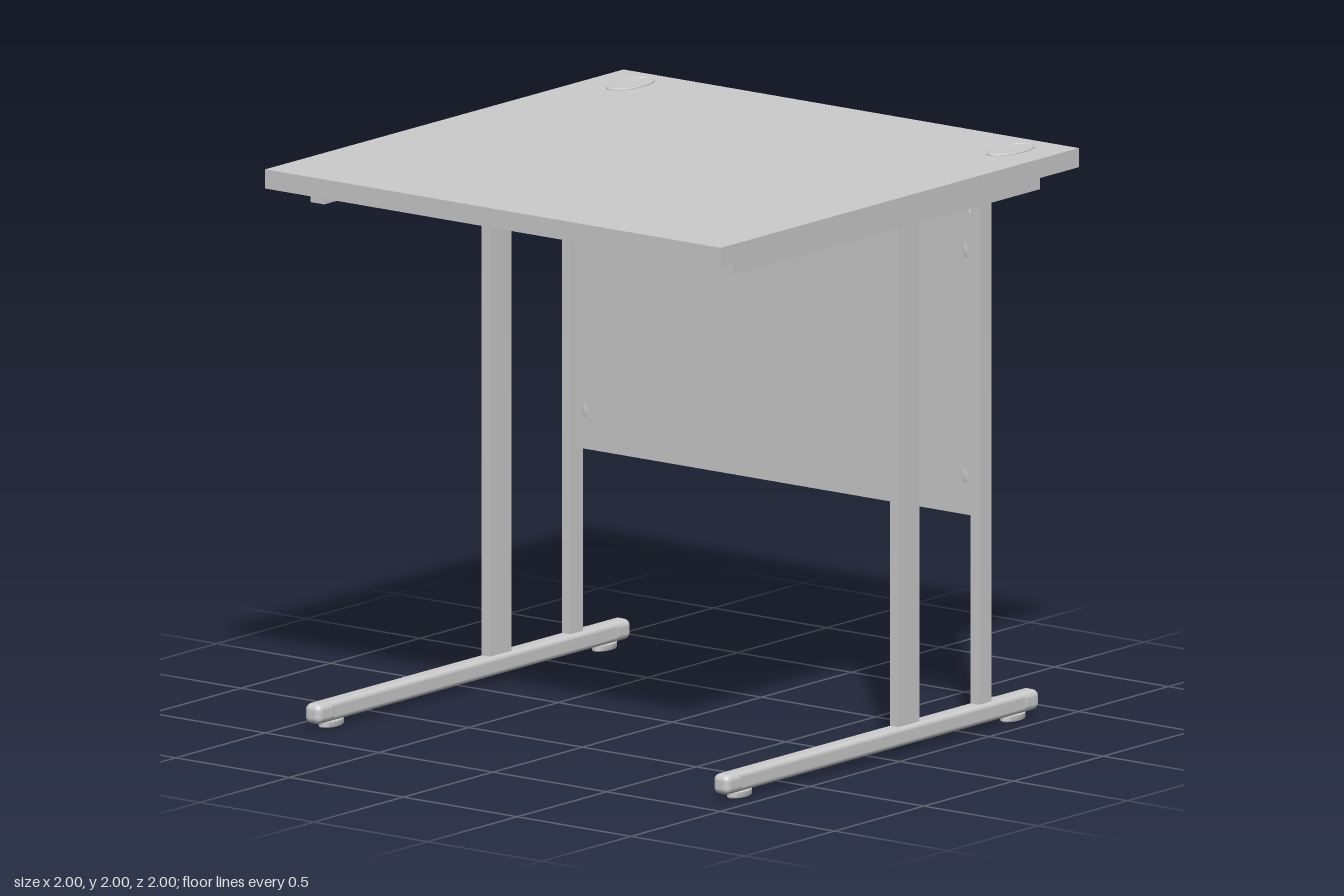
import * as THREE from 'three';
import { RoundedBoxGeometry } from 'three/addons/geometries/RoundedBoxGeometry.js';
import { toCreasedNormals } from 'three/addons/utils/BufferGeometryUtils.js';

const grey = new THREE.MeshStandardMaterial({ color: 0xcccccc });

function add(parent, name, geometry, x = 0, y = 0, z = 0) {
  const mesh = new THREE.Mesh(geometry, grey);
  mesh.name = name;
  mesh.position.set(x, y, z);
  parent.add(mesh);
  return mesh;
}

// Box given by its extents along each axis
function box(parent, name, [x0, x1], [y0, y1], [z0, z1]) {
  return add(parent, name, new THREE.BoxGeometry(x1 - x0, y1 - y0, z1 - z0),
    (x0 + x1) / 2, (y0 + y1) / 2, (z0 + z1) / 2);
}

// Turned shape squashed to an oval in plan
function oval(points, scaleX, scaleZ) {
  const profile = points.map(([r, y]) => new THREE.Vector2(r, y));
  const g = new THREE.LatheGeometry(profile, 32).scale(scaleX, 1, scaleZ);
  return toCreasedNormals(g, 0.5);
}

function createSideFrame(side) {
  const frame = new THREE.Group();
  frame.name = side > 0 ? 'leftFrame' : 'rightFrame';
  const x = side * 0.897;
  const span = (w) => [x - w / 2, x + w / 2];

  box(frame, 'topRail', span(0.06), [1.86, 1.928], [-0.875, 0.84]);
  box(frame, 'mainUpright', span(0.036), [0.08, 1.865], [-0.22, -0.1]);
  box(frame, 'rearUpright', span(0.036), [0.08, 1.865], [-0.62, -0.55]);

  // Rounded foot bar with end caps and levelling pads
  add(frame, 'footBar', new RoundedBoxGeometry(0.066, 0.07, 1.7, 4, 0.018), x, 0.057, 0);
  for (const end of [-1, 1]) {
    add(frame, 'footEndCap', new RoundedBoxGeometry(0.07, 0.072, 0.1, 4, 0.024), x, 0.057, end * 0.825);
    const pad = oval([[0, 0], [0.94, 0], [1, 0.004], [1, 0.02], [0.6, 0.022], [0.6, 0.03], [0, 0.03]], 0.03, 0.06);
    add(frame, 'levellingPad', pad, x, 0, end * 0.763);
  }
  return frame;
}

function createModestyPanel() {
  const panel = new THREE.Group();
  panel.name = 'modestyPanel';

  // Sheet with clipped upper corners
  const outline = new THREE.Shape([
    [-0.88, 0.75], [0.88, 0.75], [0.88, 1.77], [0.8, 1.928], [-0.8, 1.928], [-0.88, 1.77],
  ].map(([x, y]) => new THREE.Vector2(x, y)));
  add(panel, 'sheet', new THREE.ExtrudeGeometry(outline, { depth: 0.02, bevelEnabled: false }), 0, 0, -0.595);

  // Raised rails across the back, with oval fixings at their ends
  for (const y of [0.885, 1.685]) {
    box(panel, 'crossRail', [-0.88, 0.88], [y - 0.065, y + 0.065], [-0.618, -0.59]);
    for (const x of [-0.835, 0.835]) {
      const button = oval([[0, 0], [1, 0], [1, 0.006], [0.8, 0.012], [0.42, 0.015], [0.42, 0.018], [0, 0.018]], 0.026, 0.055);
      add(panel, 'rearFixing', button, x, y, -0.618).rotation.x = -Math.PI / 2;
      const screw = oval([[0, 0], [1, 0], [1, 0.002], [0.6, 0.004], [0, 0.004]], 0.012, 0.024);
      add(panel, 'frontFixing', screw, x, y, -0.576).rotation.x = Math.PI / 2;
    }
  }
  return panel;
}

export function createModel() {
  const desk = new THREE.Group();
  desk.name = 'desk';

  box(desk, 'desktop', [-1, 1], [1.926, 1.994], [-1, 1]);

  // Cable port covers passing through the desktop
  for (const x of [-0.835, 0.835]) {
    const cover = oval([
      [0, -0.082], [0.86, -0.082], [0.86, -0.004], [1, -0.004],
      [1, 0.003], [0.96, 0.006], [0.9, 0.006], [0.88, 0.004], [0, 0.004],
    ], 0.058, 0.115);
    add(desk, 'cablePort', cover, x, 1.994, -0.83);
  }

  desk.add(createSideFrame(1), createSideFrame(-1), createModestyPanel());
  return desk;
}
